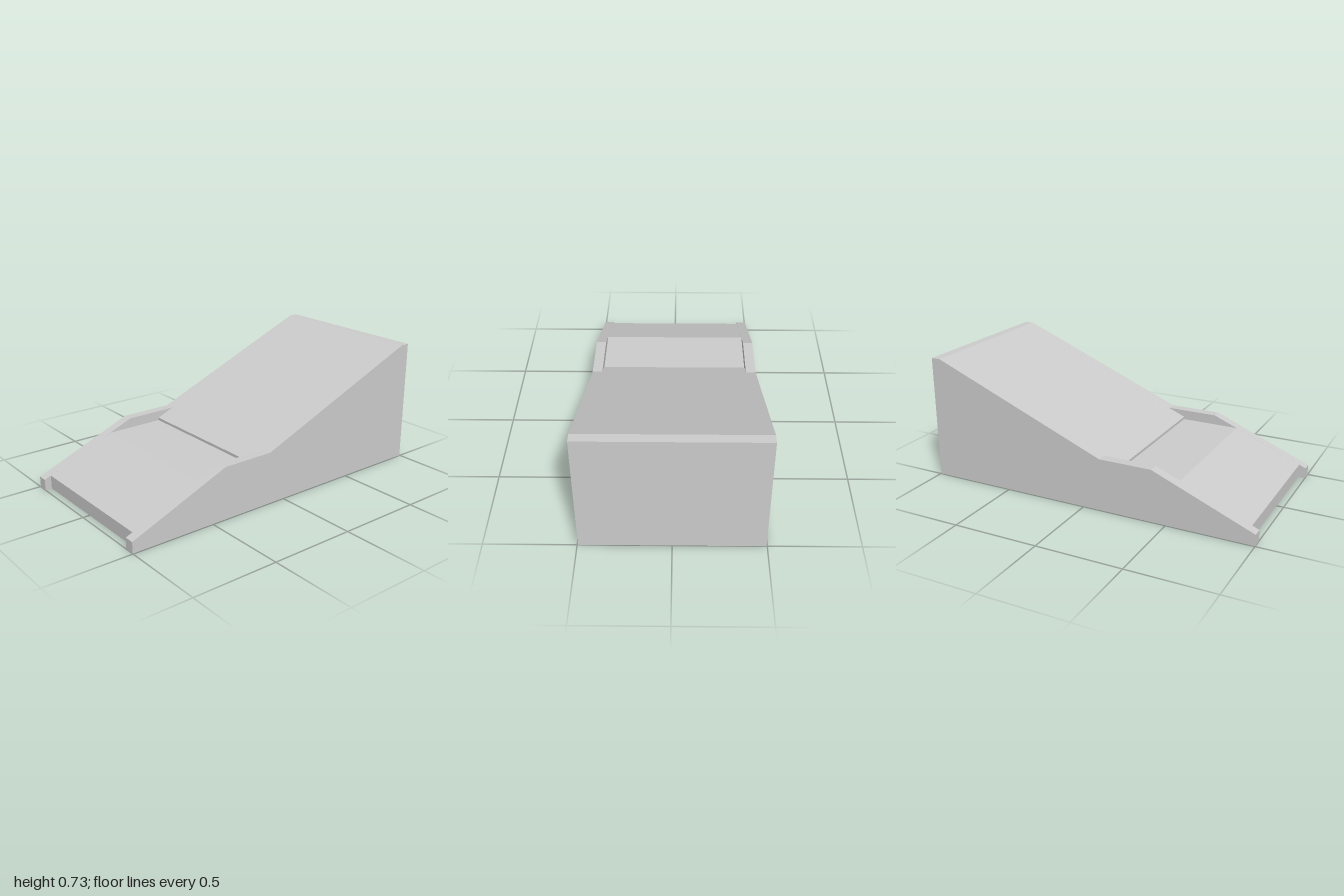
import * as THREE from 'three';

const HALF = 0.496; // half of the full width
const INNER = 0.437; // half of the width between the side rails

// Extrudes a side profile of [z, y] points across x0..x1.
function slab(name, profile, x0, x1, material) {
  const shape = new THREE.Shape(profile.map(([z, y]) => new THREE.Vector2(-z, y)));
  const geometry = new THREE.ExtrudeGeometry(shape, { depth: x1 - x0, bevelEnabled: false });
  geometry.rotateY(Math.PI / 2); // shape x -> -z, depth -> +x
  geometry.translate(x0, 0, 0);
  const mesh = new THREE.Mesh(geometry, material);
  mesh.name = name;
  return mesh;
}

export function createModel() {
  const group = new THREE.Group();
  group.name = 'ramp';
  const material = new THREE.MeshStandardMaterial({ color: 0xcccccc, flatShading: true });

  // Side rails: lower slope, raised level shoulder, upper slope, flat crest
  const rail = [
    [1, 0], [1, 0.065], [0.41, 0.306], [0.1, 0.306],
    [-0.945, 0.732], [-1, 0.732], [-1, 0],
  ];
  group.add(slab('leftRail', rail, INNER, HALF, material));
  group.add(slab('rightRail', rail, -HALF, -INNER, material));

  // Centre: set back at the front, with a level landing and a small step
  const centre = [
    [0.96, 0], [0.96, 0.081], [0.553, 0.247], [0.205, 0.247], [0.205, 0.263],
    [-0.945, 0.732], [-1, 0.732], [-1, 0],
  ];
  group.add(slab('centreRamp', centre, -INNER, INNER, material));

  return group;
}
